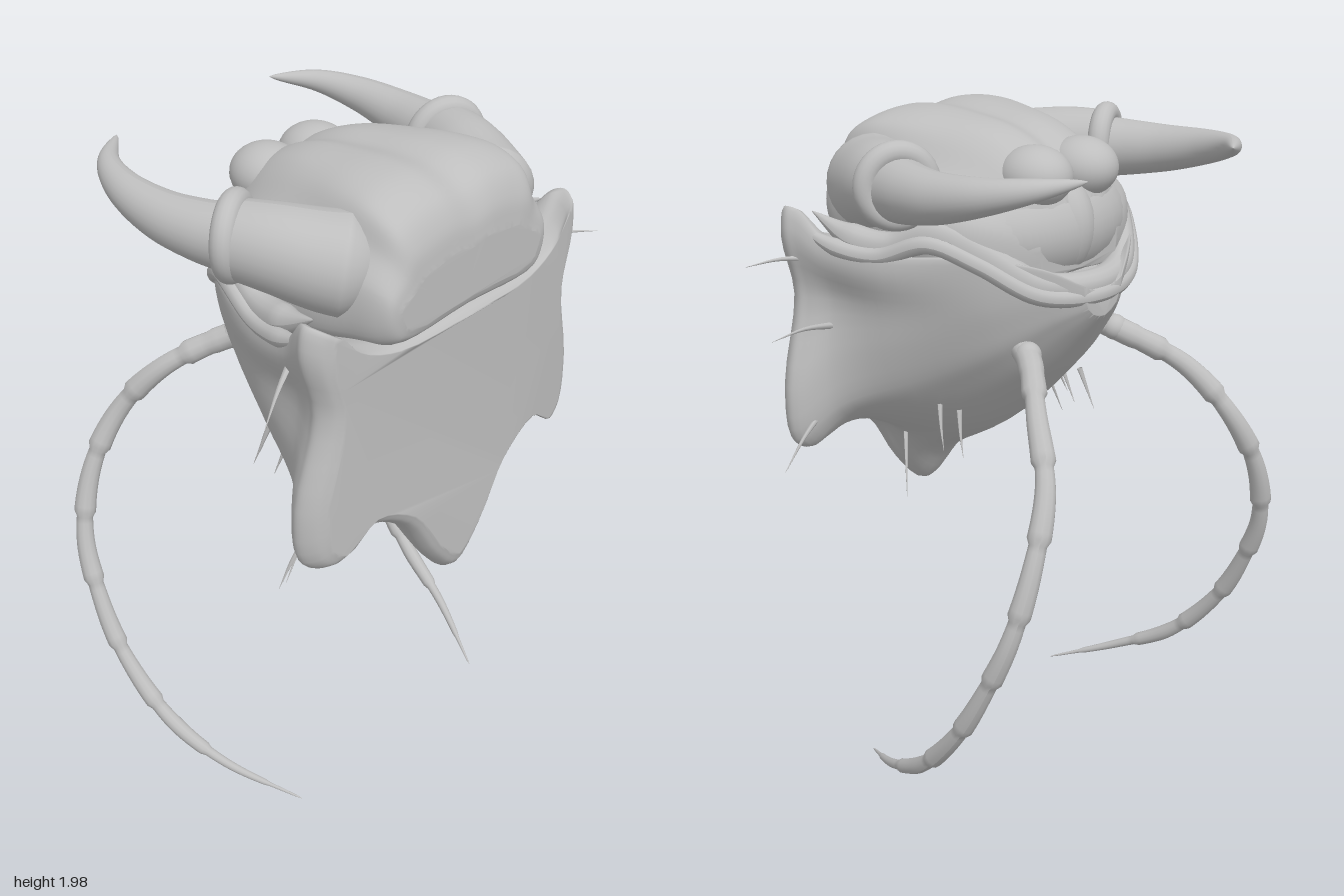
import * as THREE from 'three';

const grey = new THREE.MeshStandardMaterial({ color: 0xbebebe, side: THREE.DoubleSide });
grey.name = 'grey hide';
const V = (x, y, z) => new THREE.Vector3(x, y, z);

function add(parent, name, geometry) {
  const mesh = new THREE.Mesh(geometry, grey);
  mesh.name = name;
  parent.add(mesh);
  return mesh;
}

// Smooth skin over mirrored half outlines [z, [[x, y], ...]], listed front to back
function loft(sections, bend = z => z, around = 96, along = 40) {
  const loops = sections.map(([z, half]) => {
    const right = half.map(([x, y]) => V(x, y, z));
    const left = half.slice(1, -1).reverse().map(([x, y]) => V(-x, y, z));
    const curve = new THREE.CatmullRomCurve3([...right, ...left], true);
    return Array.from({ length: around }, (_, j) => curve.getPoint(j / around));
  });
  const pos = [], index = [];
  const lines = loops[0].map((_, j) => new THREE.CatmullRomCurve3(loops.map(l => l[j])));
  for (let i = 0; i <= along; i++)
    for (const line of lines) {
      const p = line.getPoint(i / along);
      pos.push(p.x, p.y, bend(p.z, p.x));
    }
  for (let i = 0; i < along; i++)
    for (let j = 0; j < around; j++) {
      const k = (j + 1) % around, a = i * around, b = a + around;
      index.push(a + j, a + k, b + j, a + k, b + k, b + j);
    }
  // End caps, wound to face outwards
  for (const [loop, base, facing] of [[loops[0], 0, 1], [loops.at(-1), along * around, -1]]) {
    const flat = loop.map(p => new THREE.Vector2(p.x, p.y));
    for (const [a, b, c] of THREE.ShapeUtils.triangulateShape(flat, [])) {
      const turn = flat[b].clone().sub(flat[a]).cross(flat[c].clone().sub(flat[a]));
      index.push(base + a, ...(turn * facing > 0 ? [base + b, base + c] : [base + c, base + b]));
    }
  }
  const g = new THREE.BufferGeometry();
  g.setAttribute('position', new THREE.Float32BufferAttribute(pos, 3));
  g.setIndex(index);
  g.computeVertexNormals();
  return g;
}

// Tube whose radius follows radius(t)
function taperTube(points, radius, along = 40, around = 14) {
  const curve = new THREE.CatmullRomCurve3(points);
  const g = new THREE.TubeGeometry(curve, along, 1, around);
  const p = g.attributes.position, v = V(0, 0, 0);
  for (let i = 0; i <= along; i++) {
    const c = curve.getPointAt(i / along), r = radius(i / along);
    for (let j = 0; j <= around; j++) {
      const k = i * (around + 1) + j;
      v.fromBufferAttribute(p, k).sub(c).multiplyScalar(r).add(c);
      p.setXYZ(k, v.x, v.y, v.z);
    }
  }
  g.computeVertexNormals();
  return g;
}

function ellipsoid(parent, name, c, r) {
  const m = add(parent, name, new THREE.SphereGeometry(1, 32, 20));
  m.position.set(...c);
  m.scale.set(...r);
}

// Pointed shield in front, narrowing into a bowl behind
function shell() {
  const scaled = (outline, s, cy) => outline.map(([x, y]) => [x * s, cy + (y - cy) * s]);
  const front = [[0, 1.62], [.3, 1.62], [.45, 1.67], [.53, 1.745], [.548, 1.66], [.505, 1.48], [.565, 1.22],
    [.555, 1.06], [.5, 1.02], [.38, 1.09], [.22, 1.02], [.1, .85], [0, .765]];
  const waist = [[0, 1.6], [.28, 1.6], [.41, 1.62], [.49, 1.66], [.5, 1.6], [.46, 1.48], [.475, 1.3],
    [.46, 1.16], [.42, 1.12], [.32, 1.08], [.19, 1.01], [.09, .93], [0, .9]];
  const middle = [[0, 1.58], [.25, 1.58], [.38, 1.6], [.44, 1.64], [.45, 1.58], [.42, 1.48], [.4, 1.36],
    [.36, 1.25], [.31, 1.19], [.24, 1.13], [.15, 1.07], [.08, 1.04], [0, 1.03]];
  const rear = [[0, 1.56], [.2, 1.58], [.28, 1.62], [.33, 1.65], [.33, 1.6], [.31, 1.5], [.28, 1.42],
    [.25, 1.36], [.21, 1.32], [.16, 1.28], [.1, 1.25], [.05, 1.235], [0, 1.23]];
  const bend = (z, x) => z - .045 * (x / .55) ** 2 * THREE.MathUtils.clamp((z - .2) / .25, 0, 1);
  return loft([
    [.512, scaled(front, .9, 1.4)], [.497, scaled(front, .96, 1.4)], [.46, front], [.42, scaled(front, .975, 1.4)],
    [.33, waist], [.12, middle], [-.1, rear],
    [-.23, scaled(rear, .55, 1.57)], [-.29, scaled(rear, .24, 1.53)],
  ], bend);
}

// Head: broad sloping snout in front, raised crown tapering to the back, lower cheeks
function head() {
  const rows = [ // z, crown half width, cheek half width, bottom, top
    [.512, .19, .285, 1.655, 1.8], [.5, .235, .315, 1.63, 1.87], [.46, .26, .335, 1.61, 1.935],
    [.38, .265, .35, 1.6, 1.975], [.28, .25, .37, 1.59, 1.985], [.15, .22, .38, 1.58, 1.975],
    [.02, .19, .37, 1.57, 1.955], [-.08, .17, .33, 1.56, 1.915], [-.15, .15, .26, 1.56, 1.86],
    [-.2, .1, .16, 1.58, 1.76]];
  return loft(rows.map(([z, c, w, b, t]) => [z, [[0, t - .008], [c * .35, t + .004], [c * .75, t - .008],
    [c, t - (t - b) * .1], [c + (w - c) * .4, t - (t - b) * .3], [w, b + (t - b) * .48],
    [w * .99, b + .04], [w * .88, b], [0, b]]]));
}

export function createModel() {
  const model = new THREE.Group();
  model.name = 'hornedCreature';
  const body = new THREE.Group();
  body.name = 'body';
  body.position.x = -.045;
  model.add(body);

  add(body, 'shieldShell', shell());
  add(body, 'head', head());
  ellipsoid(body, 'hindDome', [0, 1.68, .02], [.35, .19, .25]);
  ellipsoid(body, 'hindCrest', [0, 1.69, -.06], [.11, .17, .175]);

  // Rolled rims round the open top of the shell
  const half = [[.515, 1.71, .42], [.48, 1.655, .29], [.435, 1.64, .15], [.385, 1.69, 0],
    [.31, 1.64, -.11], [.19, 1.55, -.22]];
  const rim = (s, dy) => [...half.map(([x, y, z]) => V(x * s, y + dy, z * s)), V(0, 1.53 + dy, -.275 * s),
    ...half.map(([x, y, z]) => V(-x * s, y + dy, z * s)).reverse()];
  const round = r => t => r * Math.min(1, .05 + 12 * Math.min(t, 1 - t));
  add(body, 'outerRim', taperTube(rim(1, -.01), round(.026), 90));
  add(body, 'innerRim', taperTube(rim(.91, .015), round(.04), 90));

  for (const s of [1, -1]) {
    const side = s > 0 ? 'left' : 'right';
    const pts = list => list.map(([x, y, z]) => V(x * s, y, z));

    ellipsoid(body, side + 'CrownBump', [.095 * s, 1.84, -.12], [.1, .085, .11]);

    // Horn with its socket and collar
    add(body, side + 'HornSocket', taperTube(pts([[.22, 1.775, .4], [.31, 1.795, .29], [.38, 1.82, .18],
      [.435, 1.832, .06]]), t => (.15 - .05 * t) * Math.sqrt(Math.min(1, t * 4 + .001)), 32, 28));
    const collar = add(body, side + 'HornCollar', new THREE.TorusGeometry(.09, .033, 16, 36));
    collar.position.set(.425 * s, 1.835, .075);
    collar.quaternion.setFromUnitVectors(V(0, 0, 1), V(.45 * s, 0, -.89).normalize());
    add(body, side + 'Horn', taperTube(pts([[.42, 1.825, .08], [.45, 1.83, -.02], [.468, 1.84, -.13],
      [.46, 1.865, -.28], [.41, 1.89, -.4], [.3, 1.91, -.49]]),
      t => .09 * Math.pow(1 - t, .72) + .001, 40, 24));

    // Long jointed leg, each segment flaring at its end
    add(body, side + 'Leg', taperTube(pts([[.17, 1.375, -.14], [.2, 1.35, -.2], [.32, 1.25, -.34], [.405, 1.1, -.45],
      [.495, .92, -.49], [.56, .72, -.47], [.585, .55, -.4], [.593, .38, -.3], [.573, .2, -.13],
      [.525, .1, .05], [.415, .008, .27]]), t => {
      const flare = .82 + .3 * ((t * 9.5) % 1);
      return t > .999 ? .001 : (t < .06 ? .036 : .034 * (1 - .3 * t) * flare) * Math.min(1, (1 - t) * 4 + .1);
    }, 114, 12));
    ellipsoid(body, side + 'LegSocket', [.185 * s, 1.362, -.18], [.038, .038, .038]);

    // Short bristles under the bowl
    for (const z of [.1, .02])
      add(body, side + 'UnderBristle', taperTube(pts([[.26, 1.17, z], [.275, 1.1, z - .02], [.285, 1.04, z - .04]]),
        t => .008 * (1 - t) + .0005, 8, 6));
  }

  // Bristles scattered round the shield: base, tip
  const bristles = [
    [[.47, 1.59, .37], [.655, 1.585, .46]], [[.45, 1.4, .33], [.715, 1.42, .28]],
    [[.47, 1.14, .37], [.655, 1.005, .33]], [[.15, 1.06, .37], [.225, .81, .29]],
    [[-.47, 1.59, .31], [-.605, 1.45, .34]], [[-.5, 1.09, .38], [-.565, .94, .34]],
    [[-.4, 1.11, .33], [-.495, .9, .3]], [[-.23, 1.05, .3], [-.295, .94, .26]]];
  for (const [a, b] of bristles) {
    const start = V(...a), end = V(...b);
    const mid = start.clone().lerp(end, .5).add(V(0, .012, 0));
    add(body, 'bristle', taperTube([start, mid, end], t => .01 * (1 - t) + .0005, 10, 6));
  }
  return model;
}
